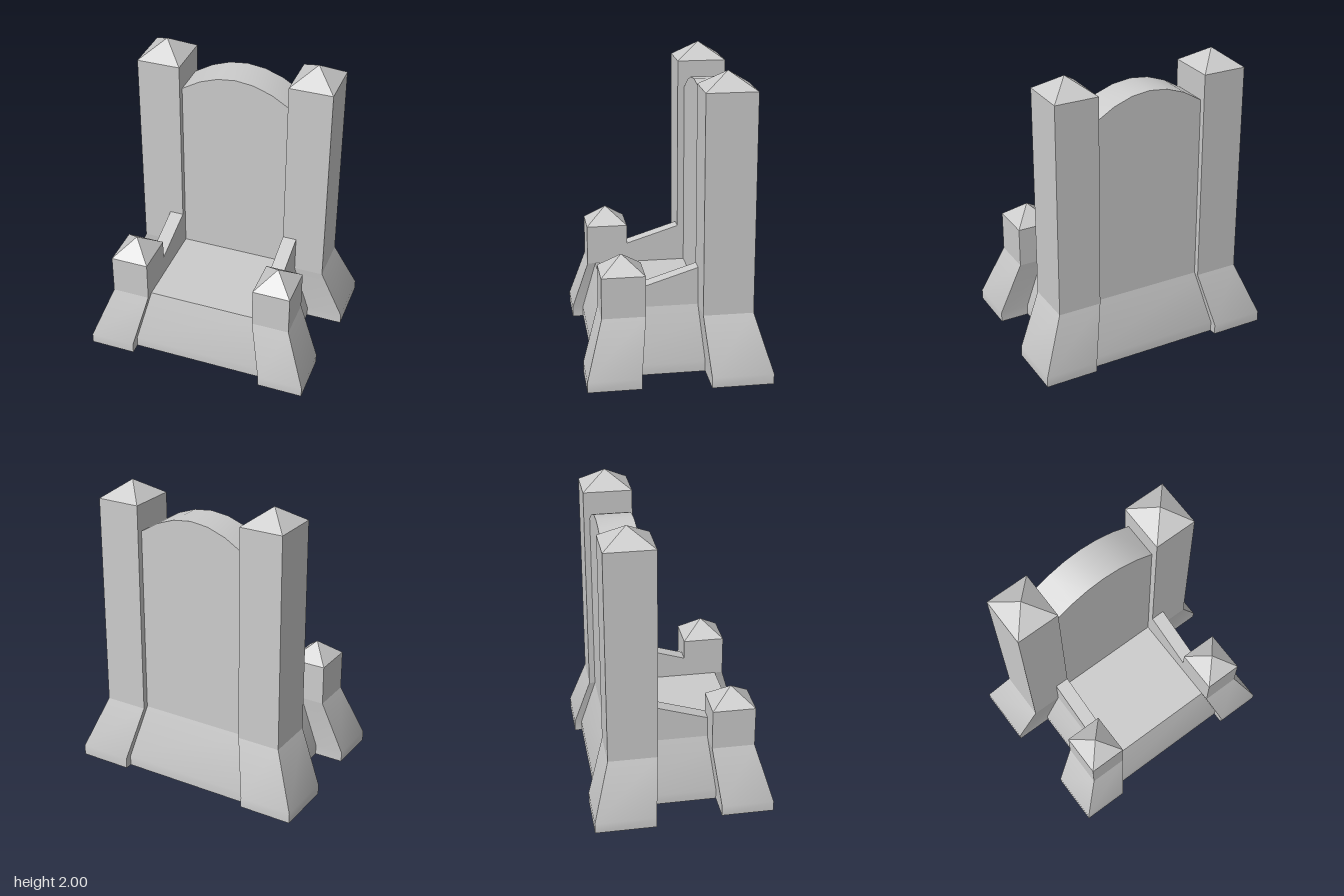
import * as THREE from 'three';
import { toCreasedNormals } from 'three/addons/utils/BufferGeometryUtils.js';

const material = new THREE.MeshStandardMaterial({ color: 0xcccccc });
const CREASE = 0.6;

function add(parent, name, geometry) {
  const mesh = new THREE.Mesh(geometry, material);
  mesh.name = name;
  parent.add(mesh);
  return mesh;
}

// Stack of rectangles [y, x0, x1, z0, z1], joined from bottom to top
function loft(rings, capBottom, capTop) {
  const pos = [], index = [];
  for (const [y, x0, x1, z0, z1] of rings)
    pos.push(x0, y, z1, x1, y, z1, x1, y, z0, x0, y, z0);
  for (let r = 0; r < rings.length - 1; r++) {
    for (let i = 0; i < 4; i++) {
      const a = r * 4 + i, b = r * 4 + (i + 1) % 4;
      index.push(a, b, b + 4, a, b + 4, a + 4);
    }
  }
  if (capBottom) index.push(0, 2, 1, 0, 3, 2);
  const t = (rings.length - 1) * 4;
  if (capTop) index.push(t, t + 1, t + 2, t, t + 2, t + 3);
  const g = new THREE.BufferGeometry();
  g.setAttribute('position', new THREE.Float32BufferAttribute(pos, 3));
  g.setIndex(index);
  return toCreasedNormals(g, CREASE);
}

// Square post with a flared foot and a pyramid cap
function post(name, side, { foot, shaft, top, apex }) {
  const group = new THREE.Group();
  group.name = name;
  const ring = (y, [x0, x1, z0, z1]) =>
    side > 0 ? [y, x0, x1, z0, z1] : [y, -x1, -x0, z0, z1];
  add(group, 'postFoot', loft([ring(0, foot), ring(0.07, foot), ring(0.44, shaft)], true, false));
  add(group, 'postShaft', loft([ring(0.44, shaft), ring(top, shaft)], false, false));

  const [x0, x1, z0, z1] = shaft;
  const cap = new THREE.ConeGeometry(Math.SQRT1_2, 1, 4, 1, true).rotateY(Math.PI / 4);
  cap.scale(x1 - x0, apex - top, z1 - z0);
  cap.translate(side * (x0 + x1) / 2, (top + apex) / 2, (z0 + z1) / 2);
  add(group, 'postCap', toCreasedNormals(cap, 0.1));
  return group;
}

export function createModel() {
  const model = new THREE.Group();
  model.name = 'throne';

  // Flared base whose top is the seat
  add(model, 'seatBase', loft([
    [0, -0.57, 0.57, -0.55, 0.525],
    [0.07, -0.57, 0.57, -0.55, 0.525],
    [0.44, -0.47, 0.47, -0.45, 0.435],
  ], true, true));

  // Backrest with an arched top
  const back = new THREE.Shape();
  back.moveTo(-0.375, 0.44);
  back.lineTo(0.375, 0.44);
  for (let i = 3; i >= -3; i--) back.lineTo(i * 0.125, 1.845 - 0.135 * (i / 3) ** 2);
  const backGeo = new THREE.ExtrudeGeometry(back, { depth: 0.245, bevelEnabled: false });
  add(model, 'backrest', toCreasedNormals(backGeo.translate(0, 0, -0.45), CREASE));

  // Sloping armrest profile in z and y
  const arm = new THREE.Shape([[-0.16, 0.44], [0.205, 0.44], [0.205, 0.58], [-0.16, 0.695]]
    .map(([z, y]) => new THREE.Vector2(z, y)));

  for (const side of [1, -1]) {
    const label = side > 0 ? 'left' : 'right';
    const armGeo = new THREE.ExtrudeGeometry(arm, { depth: 0.095, bevelEnabled: false });
    armGeo.rotateY(-Math.PI / 2).translate(side > 0 ? 0.47 : -0.375, 0, 0);
    add(model, label + 'Armrest', armGeo);

    model.add(post(label + 'BackPost', side, {
      foot: [0.46, 0.82, -0.6, -0.195], shaft: [0.375, 0.67, -0.49, -0.16], top: 1.89, apex: 2,
    }));
    model.add(post(label + 'FrontPost', side, {
      foot: [0.46, 0.77, 0.25, 0.6], shaft: [0.375, 0.63, 0.205, 0.49], top: 0.715, apex: 0.83,
    }));
  }
  return model;
}
